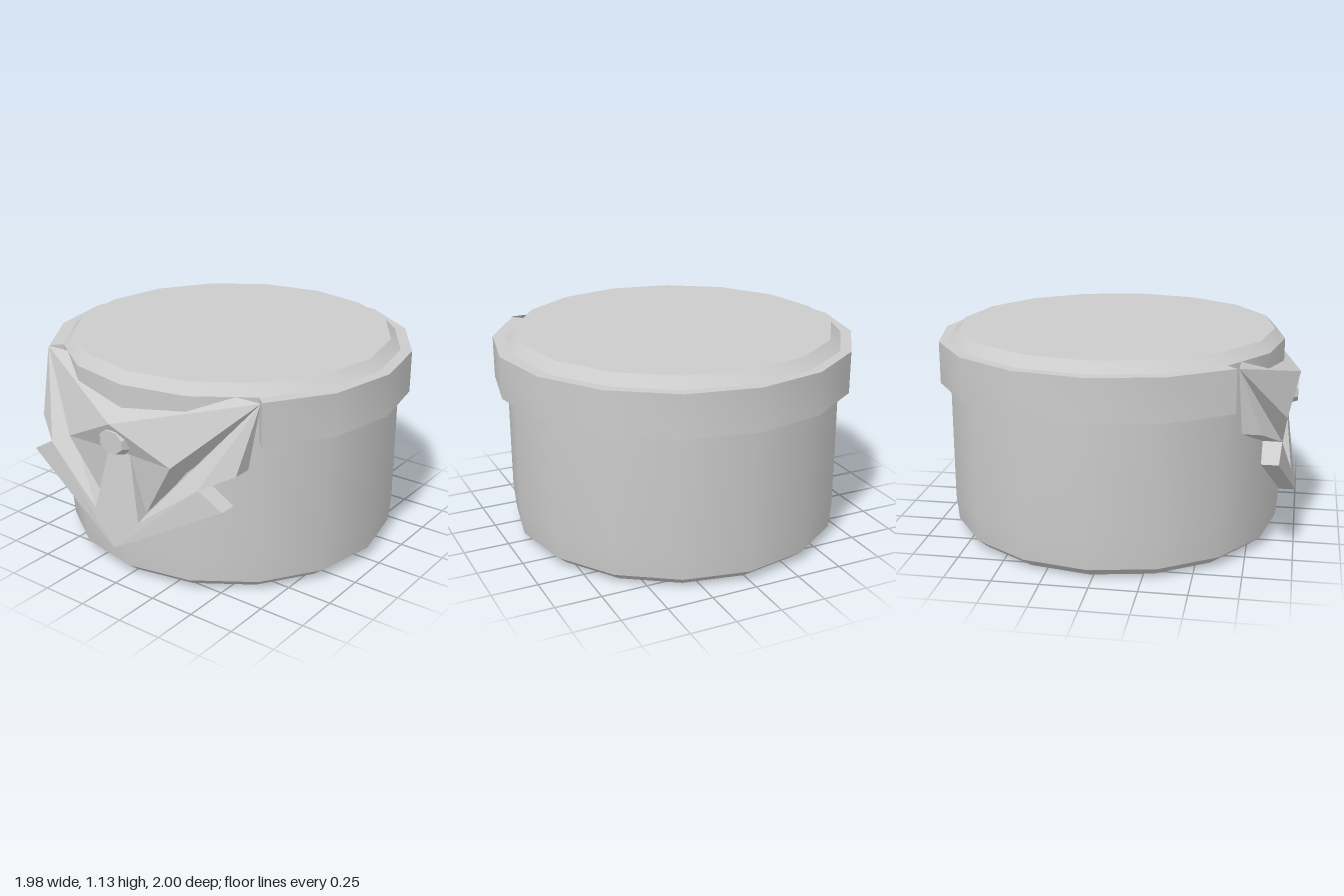
import * as THREE from 'three';
import { toCreasedNormals } from 'three/addons/utils/BufferGeometryUtils.js';

const V2 = (x, y) => new THREE.Vector2(x, y);

// Lathe with smooth sides and sharp bevels
function turned(points, start = 0, length = Math.PI * 2, segments = 16) {
  const lathe = new THREE.LatheGeometry(points.map(([r, y]) => V2(r, y)), segments, start, length);
  return toCreasedNormals(lathe, 0.5);
}

// Flat-faced geometry from named corners; each face is mirrored across x = 0
function mirroredFaces(corners, faces) {
  const position = [];
  for (const side of [1, -1]) {
    for (const face of faces) {
      const names = side > 0 ? face : [...face].reverse();
      for (let i = 1; i < names.length - 1; i++) {
        for (const n of [names[0], names[i], names[i + 1]]) {
          const [x, y, z] = corners[n];
          position.push(x * side, y, z);
        }
      }
    }
  }
  const geometry = new THREE.BufferGeometry();
  geometry.setAttribute('position', new THREE.Float32BufferAttribute(position, 3));
  geometry.computeVertexNormals();
  return geometry;
}

export function createModel() {
  const model = new THREE.Group();
  const smooth = new THREE.MeshStandardMaterial({ color: 0xcccccc });
  const thin = new THREE.MeshStandardMaterial({ color: 0xcccccc, side: THREE.DoubleSide });
  const flat = new THREE.MeshStandardMaterial({ color: 0xcccccc, side: THREE.DoubleSide, flatShading: true });

  const add = (name, geometry, material, x = 0, y = 0, z = 0) => {
    const mesh = new THREE.Mesh(geometry, material);
    mesh.name = name;
    mesh.position.set(x, y, z);
    model.add(mesh);
    return mesh;
  };

  // Bevelled pot with a closed top
  add('potBody', turned([
    [0, 0], [0.845, 0], [0.912, 0.055], [0.925, 0.2],
    [0.925, 1.08], [0.87, 1.135], [0, 1.135],
  ]), smooth, 0, 0, -0.02);

  // Lid band, open across the front quarter
  add('lidBand', turned(
    [[0.9, 0.85], [0.99, 0.85], [0.99, 1.08], [0.9, 1.08]],
    Math.PI / 4, Math.PI * 1.5, 12,
  ), thin, 0, 0, -0.01);

  // Band ends
  for (const side of [1, -1]) {
    const end = add('bandEnd', new THREE.PlaneGeometry(0.09, 0.23), thin, side * 0.668, 0.965, 0.658);
    end.rotation.y = -side * Math.PI / 4;
  }

  // Faceted animal mask on the front: corners of its left half
  const corners = {
    tip: [0.7, 1.08, 0.7], brow: [0, 0.9, 1], topMid: [0, 1.08, 0.7],
    ear: [0.335, 0.73, 0.94], noseSide: [0.07, 0.73, 0.93], noseMid: [0, 0.73, 0.93],
    jaw: [0.145, 0.385, 0.97], hollow: [0.14, 0.41, 0.9],
    chin: [0, 0.21, 1], cheek: [0.645, 0.73, 0.82],
    notch: [0.49, 0.65, 0.92], whisker: [0.63, 0.57, 0.91],
    chinBack: [0, 0.21, 0.91], cheekBack: [0.645, 0.73, 0.72],
    notchBack: [0.49, 0.65, 0.82], whiskerBack: [0.63, 0.57, 0.82],
  };
  add('mask', mirroredFaces(corners, [
    // Forehead and ear
    ['tip', 'topMid', 'brow'],
    ['tip', 'brow', 'ear'],
    ['brow', 'noseSide', 'ear'],
    ['brow', 'noseMid', 'noseSide'],
    // Hollow beside the muzzle
    ['tip', 'ear', 'hollow'],
    ['ear', 'noseSide', 'hollow'],
    ['noseSide', 'jaw', 'hollow'],
    ['tip', 'hollow', 'jaw'],
    // Muzzle
    ['noseSide', 'noseMid', 'chin', 'jaw'],
    // Cheek
    ['tip', 'jaw', 'notch'],
    ['tip', 'notch', 'cheek'],
    ['jaw', 'chin', 'notch'],
    ['notch', 'chin', 'whisker'],
    // Rim
    ['tip', 'cheek', 'cheekBack'],
    ['cheek', 'notch', 'notchBack', 'cheekBack'],
    ['notch', 'whisker', 'whiskerBack', 'notchBack'],
    ['whisker', 'chin', 'chinBack', 'whiskerBack'],
    // Back
    ['tip', 'cheekBack', 'notchBack'],
    ['notchBack', 'whiskerBack', 'chinBack'],
  ]), flat);

  // Eight-sided bevelled nose
  const nose = new THREE.CylinderGeometry(0.078, 0.108, 0.07, 8, 1, false, Math.PI / 8);
  nose.rotateX(Math.PI / 2);
  nose.scale(1, 0.8, 1);
  add('nose', nose, flat, 0, 0.8, 0.955);

  return model;
}
